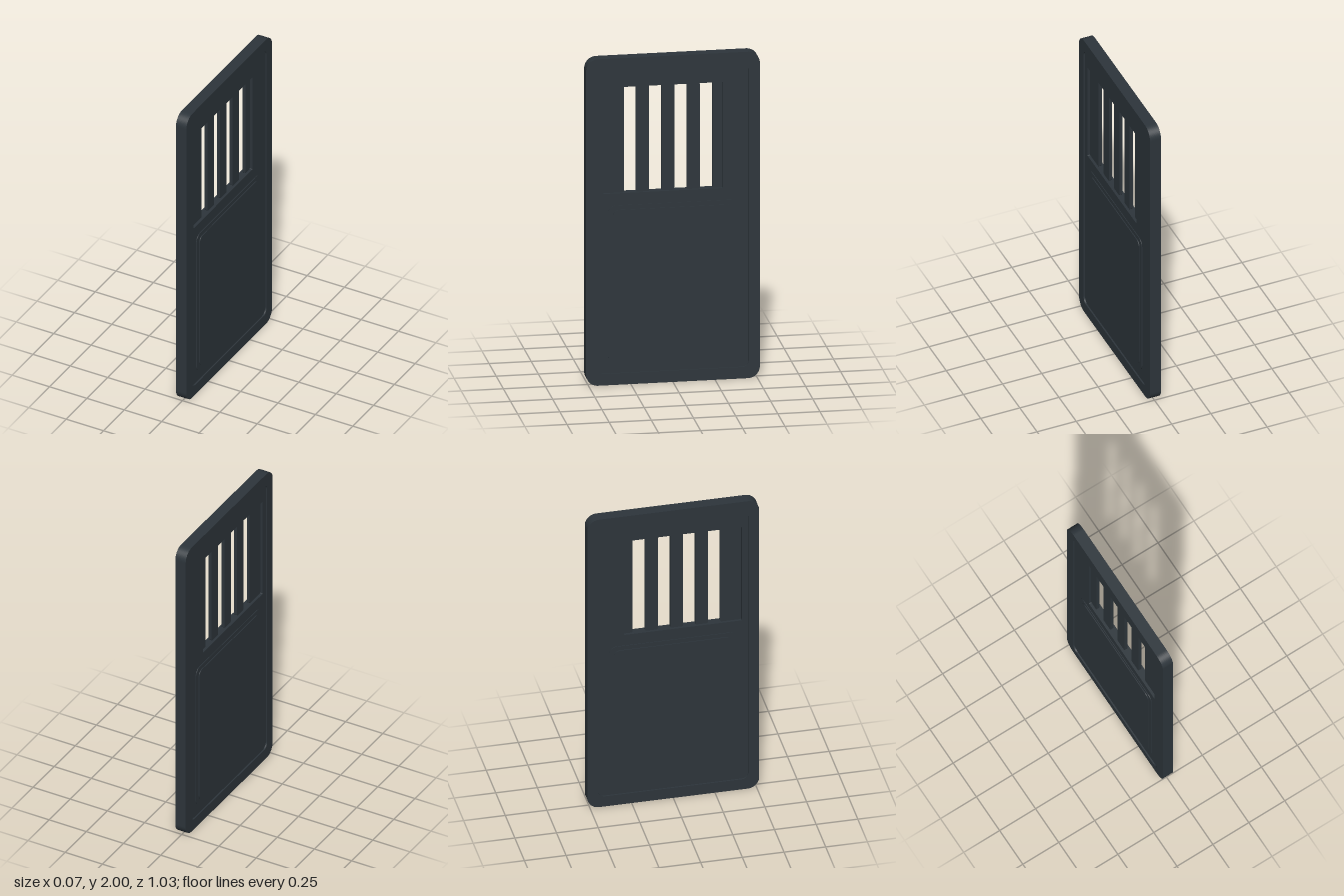
import * as THREE from 'three';

const slate = new THREE.MeshStandardMaterial({ color: 0x2d353b });
slate.name = 'dark slate paint';

// Rounded rectangle in the door plane; u runs toward -z, v is height
function roundedRect(Type, u0, u1, v0, v1, r) {
  const s = new Type();
  s.moveTo(u0 + r, v0);
  s.lineTo(u1 - r, v0);
  s.absarc(u1 - r, v0 + r, r, -Math.PI / 2, 0);
  s.lineTo(u1, v1 - r);
  s.absarc(u1 - r, v1 - r, r, 0, Math.PI / 2);
  s.lineTo(u0 + r, v1);
  s.absarc(u0 + r, v1 - r, r, Math.PI / 2, Math.PI);
  s.lineTo(u0, v0 + r);
  s.absarc(u0 + r, v0 + r, r, Math.PI, Math.PI * 1.5);
  return s;
}

// Slab centred on x = 0, reaching half to either side
function slab(name, shape, half) {
  const geo = new THREE.ExtrudeGeometry(shape, { depth: half * 2, bevelEnabled: false, curveSegments: 8 });
  geo.translate(0, 0, -half);
  geo.rotateY(Math.PI / 2);
  const mesh = new THREE.Mesh(geo, slate);
  mesh.name = name;
  return mesh;
}

export function createModel() {
  const door = new THREE.Group();
  door.name = 'door';

  // Outer frame with a rounded opening
  const frame = roundedRect(THREE.Shape, -0.515, 0.515, 0, 2, 0.07);
  frame.holes.push(roundedRect(THREE.Path, -0.45, 0.45, 0.07, 1.93, 0.04));
  door.add(slab('outerFrame', frame, 0.035));

  // Recessed field pierced by the window
  const field = roundedRect(THREE.Shape, -0.45, 0.45, 0.07, 1.93, 0.04);
  field.holes.push(roundedRect(THREE.Path, -0.413, 0.295, 1.17, 1.82, 0.005));
  door.add(slab('recessedField', field, 0.026));

  // Lower panel, raised in two steps on both faces
  door.add(slab('lowerPanelStep', roundedRect(THREE.Shape, -0.382, 0.382, 0.135, 1.097, 0.045), 0.03));
  door.add(slab('lowerPanelCentre', roundedRect(THREE.Shape, -0.353, 0.353, 0.163, 1.07, 0.035), 0.035));

  // Window bars: a wide one on the latch side, then evenly spaced slats
  const bars = [[-0.413, -0.287], [-0.214, -0.138], [-0.064, 0.012], [0.087, 0.163], [0.238, 0.295]];
  const windowBars = new THREE.Group();
  windowBars.name = 'windowBars';
  bars.forEach(([u0, u1], i) => {
    windowBars.add(slab('windowBar' + (i + 1), roundedRect(THREE.Shape, u0, u1, 1.17, 1.82, 0.008), 0.01));
  });
  door.add(windowBars);

  return door;
}
